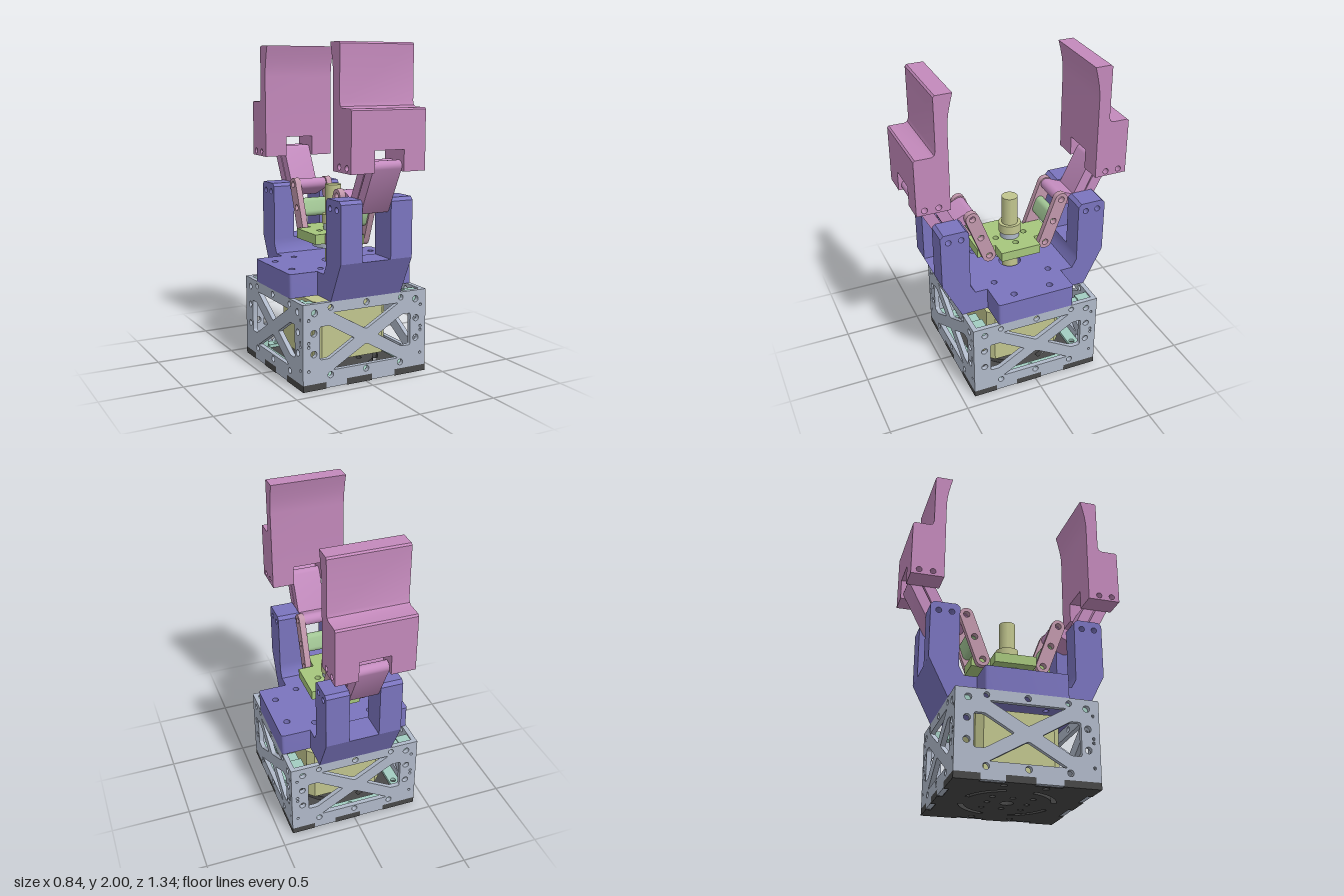
import * as THREE from 'three';
import { toCreasedNormals } from 'three/addons/utils/BufferGeometryUtils.js';

const paint = (name, color) => {
  const m = new THREE.MeshStandardMaterial({ color });
  m.name = name;
  return m;
};

// Closed shape from points, with round holes [x, y, r] and polygon holes
function outline(points, rounds = [], polygons = []) {
  const shape = new THREE.Shape(points.map(p => new THREE.Vector2(...p)));
  for (const [x, y, r] of rounds) shape.holes.push(new THREE.Path().absarc(x, y, r, 0, Math.PI * 2));
  for (const poly of polygons) shape.holes.push(new THREE.Path(poly.map(p => new THREE.Vector2(...p))));
  return shape;
}

// Polygon with its corners rounded by radius r
function rounded(points, r) {
  const out = [], n = points.length;
  points.forEach((p, i) => {
    const c = new THREE.Vector2(...p);
    const toward = q => c.clone().add(new THREE.Vector2(...q).sub(c).setLength(r));
    const curve = new THREE.QuadraticBezierCurve(toward(points[(i + n - 1) % n]), c, toward(points[(i + 1) % n]));
    curve.getPoints(4).forEach(v => out.push([v.x, v.y]));
  });
  return out;
}

// Rounded bar between two pivots
function bar(a, b, r) {
  const t = Math.atan2(b[1] - a[1], b[0] - a[0]), out = [];
  [[b, -1], [a, 1]].forEach(([c, k]) => {
    for (let i = 0; i <= 10; i++) {
      const w = t + k * Math.PI / 2 + i / 10 * Math.PI;
      out.push([c[0] + r * Math.cos(w), c[1] + r * Math.sin(w)]);
    }
  });
  return out;
}

const solid = (shape, depth) =>
  new THREE.ExtrudeGeometry(shape, { depth, bevelEnabled: false, curveSegments: 10 });
const rect = (x0, y0, x1, y1) => [[x0, y0], [x1, y0], [x1, y1], [x0, y1]];

export function createModel() {
  const model = new THREE.Group();
  const grey = paint('panel grey', 0xb0b9c9), dark = paint('base black', 0x484848);
  const blue = paint('body blue', 0x7a74be), pink = paint('finger pink', 0xc389bb);
  const rose = paint('rod rose', 0xc298ac), mint = paint('bracket mint', 0xa2cdc1);
  const khaki = paint('motor khaki', 0xc1c58e), green = paint('nut green', 0xa6c67c);
  const pale = paint('crossbar green', 0xa2c695), lilac = paint('link lilac', 0xc48cbf);

  function add(name, geo, mat, parent = model) {
    const mesh = new THREE.Mesh(toCreasedNormals(geo, 0.5), mat);
    mesh.name = name;
    parent.add(mesh);
    return mesh;
  }
  // Profile in (z, y) extruded over x0..x1; side -1 mirrors it to the back
  function across(name, points, rounds, x0, x1, mat, side, parent) {
    const shape = outline(points.map(([z, y]) => [z * side, y]), rounds.map(([z, y, r]) => [z * side, y, r]));
    return add(name, solid(shape, x1 - x0).rotateY(-Math.PI / 2).translate(x1, 0, 0), mat, parent);
  }
  // Plan in (x, z) extruded over y0..y1
  const flat = (name, shape, y0, y1, mat) =>
    add(name, solid(shape, y1 - y0).rotateX(Math.PI / 2).translate(0, y1, 0), mat);
  const drum = (name, r, y0, y1, mat) =>
    add(name, new THREE.CylinderGeometry(r, r, y1 - y0, 32).translate(0, (y0 + y1) / 2, 0), mat);
  const box = (name, x0, y0, z0, x1, y1, z1, mat, parent) =>
    add(name, new THREE.BoxGeometry(x1 - x0, y1 - y0, z1 - z0)
      .translate((x0 + x1) / 2, (y0 + y1) / 2, (z0 + z1) / 2), mat, parent);

  // Base plate with a ring of slots and screw holes
  const baseHoles = [[0, 0, 0.04]], slots = [];
  for (let i = 0; i < 4; i++) {
    const a = i * Math.PI / 2;
    baseHoles.push([0.12 * Math.cos(a), 0.12 * Math.sin(a), 0.018]);
    baseHoles.push([0.17 * Math.cos(a + 0.78), 0.17 * Math.sin(a + 0.78), 0.018]);
    baseHoles.push([i % 2 ? 0.35 : -0.35, i < 2 ? 0.12 : -0.12, 0.02]);
    const arc = (r, k) => Array.from({ length: 13 }, (_, j) => {
      const t = a + 0.3 + (k > 0 ? j : 12 - j) / 12 * 0.97;
      return [r * Math.cos(t), r * Math.sin(t)];
    });
    slots.push([...arc(0.285, 1), ...arc(0.255, -1)]);
  }
  flat('basePlate', outline(rect(-0.39, -0.39, 0.39, 0.39), baseHoles, slots), 0, 0.04, dark);

  // Four truss walls, each with base tabs and inner brackets
  const panelHoles = [[0, 0.49, 0.019], [0, 0.08, 0.019]];
  for (const s of [-1, 1]) {
    panelHoles.push([s * 0.24, 0.487, 0.017], [s * 0.345, 0.465, 0.02], [s * 0.35, 0.345, 0.02],
      [s * 0.35, 0.22, 0.02], [s * 0.24, 0.08, 0.019]);
    for (const y of [0.425, 0.29, 0.265, 0.12]) panelHoles.push([s * 0.383, y, 0.009]);
  }
  const sideWindow = s => rounded([[0.31, 0.38], [0.25, 0.38], [0.08, 0.28], [0.25, 0.18], [0.31, 0.18]]
    .map(([x, y]) => [x * s, y]), 0.012);
  const windows = [
    rounded([[-0.225, 0.455], [0.225, 0.455], [0, 0.325]], 0.015),
    rounded([[-0.225, 0.108], [0.225, 0.108], [0, 0.238]], 0.015),
    sideWindow(1), sideWindow(-1)];
  for (let i = 0; i < 4; i++) {
    const wall = new THREE.Group();
    wall.name = 'wall' + (i + 1);
    wall.rotation.y = i * Math.PI / 2;
    model.add(wall);
    const w = i % 2 ? 0.39 : 0.42;
    const edge = [[-w, 0.04], [-0.27, 0.04], [-0.27, 0.004], [-0.13, 0.004], [-0.13, 0.04], [0.04, 0.04],
      [0.04, 0.004], [0.2, 0.004], [0.2, 0.04], [w, 0.04], [w, 0.52], [-w, 0.52]];
    add('trussPanel', solid(outline(edge, panelHoles, windows), 0.03).translate(0, 0, 0.39), grey, wall);
    for (const [a, b] of [[-0.42, -0.27], [-0.13, 0.04], [0.2, 0.42]])
      box('baseTab', a, 0, 0.39, b, 0.04, 0.42, dark, wall);
    // Floor rail and corner blocks
    const rail = outline(rect(-0.3, 0.32, 0.3, 0.39), [[-0.24, 0.35, 0.018], [0, 0.35, 0.018], [0.24, 0.35, 0.018]]);
    add('floorRail', solid(rail, 0.02).rotateX(Math.PI / 2).translate(0, 0.06, 0), mint, wall);
    box('cornerBlockTop', 0.31, 0.43, 0.32, 0.39, 0.51, 0.39, mint, wall);
    box('cornerBlockBottom', 0.31, 0.04, 0.32, 0.39, 0.1, 0.39, mint, wall);
    box('topRail', 0.23, 0.47, 0.33, 0.31, 0.5, 0.39, mint, wall);
  }

  // Motor with bevelled corners
  const m = 0.25, c = 0.21;
  flat('motor', outline([[-c, -m], [c, -m], [m, -c], [m, c], [c, m], [-c, m], [-m, c], [-m, -c]]), 0.1, 0.47, khaki);

  // Body deck
  const deckHoles = [[0, 0, 0.07]];
  for (const x of [-1, 1]) for (const z of [-1, 1])
    deckHoles.push([x * 0.345, z * 0.12, 0.02], [x * 0.185, z * 0.185, 0.019]);
  flat('deck', outline(rounded(rect(-0.42, -0.25, 0.42, 0.25), 0.02), deckHoles), 0.52, 0.665, blue);

  // Lead screw, flange and nut
  drum('leadScrew', 0.05, 0.47, 1.145, khaki);
  drum('screwCollar', 0.07, 0.9, 0.96, khaki);
  drum('nutSleeve', 0.06, 0.8, 0.9, grey);
  drum('nutFlange', 0.13, 0.76, 0.8, grey);
  const nut = [[-0.19, -0.13], [-0.09, -0.13], [-0.09, -0.25], [0.08, -0.25], [0.08, -0.13], [0.18, -0.13],
    [0.18, 0.13], [0.08, 0.13], [0.08, 0.25], [-0.09, 0.25], [-0.09, 0.13], [-0.19, 0.13]];
  flat('nutPlate', outline(nut, [[0.095, 0, 0.019], [-0.095, 0, 0.019], [0, 0.095, 0.019], [0, -0.095, 0.019]]),
    0.8, 0.86, green);

  // Front and back gripper sides
  for (const s of [1, -1]) {
    const side = new THREE.Group();
    side.name = s > 0 ? 'frontGripper' : 'backGripper';
    model.add(side);

    // Tower foot and its two ears
    across('towerFoot', [[0.25, 0.52], [0.42, 0.52], [0.54, 0.76], [0.36, 0.76], [0.36, 0.72], [0.33, 0.665],
      [0.25, 0.665]], [], -0.24, 0.235, blue, s, side);
    const ear = [[0.36, 0.76], [0.54, 0.76], [0.54, 1.1], [0.52, 1.12], [0.38, 1.12], [0.36, 1.1]];
    for (const [a, b] of [[-0.24, -0.1], [0.09, 0.235]])
      across('towerEar', ear, [[0.49, 1.065, 0.018], [0.41, 1.065, 0.018]], a, b, blue, s, side);

    // Finger: curved jaw above, two cheeks below
    across('jaw', [[0.465, 1.41], [0.67, 1.41], [0.67, 1.63], [0.66, 1.64], [0.565, 1.64], [0.548, 1.648],
      [0.54, 1.67], [0.54, 1.99], [0.53, 2], [0.43, 2], [0.443, 1.95], [0.456, 1.89], [0.463, 1.84],
      [0.465, 1.8]], [], -0.248, 0.23, pink, s, side);
    for (const [a, b] of [[-0.248, -0.1], [0.09, 0.23]])
      across('jawCheek', rect(0.465, 1.285, 0.67, 1.41), [[0.62, 1.315, 0.018], [0.535, 1.315, 0.018]],
        a, b, pink, s, side);

    // Parallel links and crank
    const hole = p => [...p, 0.016];
    const o1 = [0.62, 1.315], o2 = [0.49, 1.065], i1 = [0.535, 1.315], i2 = [0.41, 1.065];
    const crank = [0.295, 1.115], foot = [0.19, 0.83], mid = [0.243, 0.972];
    across('outerLink', bar(o1, o2, 0.033), [hole(o1), hole(o2)], -0.097, 0.087, lilac, s, side);
    across('innerLink', bar(i1, i2, 0.033), [hole(i1), hole(i2)], -0.097, 0.087, lilac, s, side);
    across('crankArm', bar(crank, i2, 0.036), [hole(crank), hole(i2)], -0.096, 0.086, lilac, s, side);

    // Push rods and the crossbar between them
    for (const [a, b] of [[-0.136, -0.098], [0.088, 0.126]])
      across('pushRod', bar(crank, foot, 0.043), [[...crank, 0.02], [...mid, 0.02], [...foot, 0.02]],
        a, b, rose, s, side);
    across('crossbar', bar([0.233, 0.943], [0.253, 1.0], 0.03), [[...mid, 0.018]], -0.098, 0.088, pale, s, side);
  }
  return model;
}
